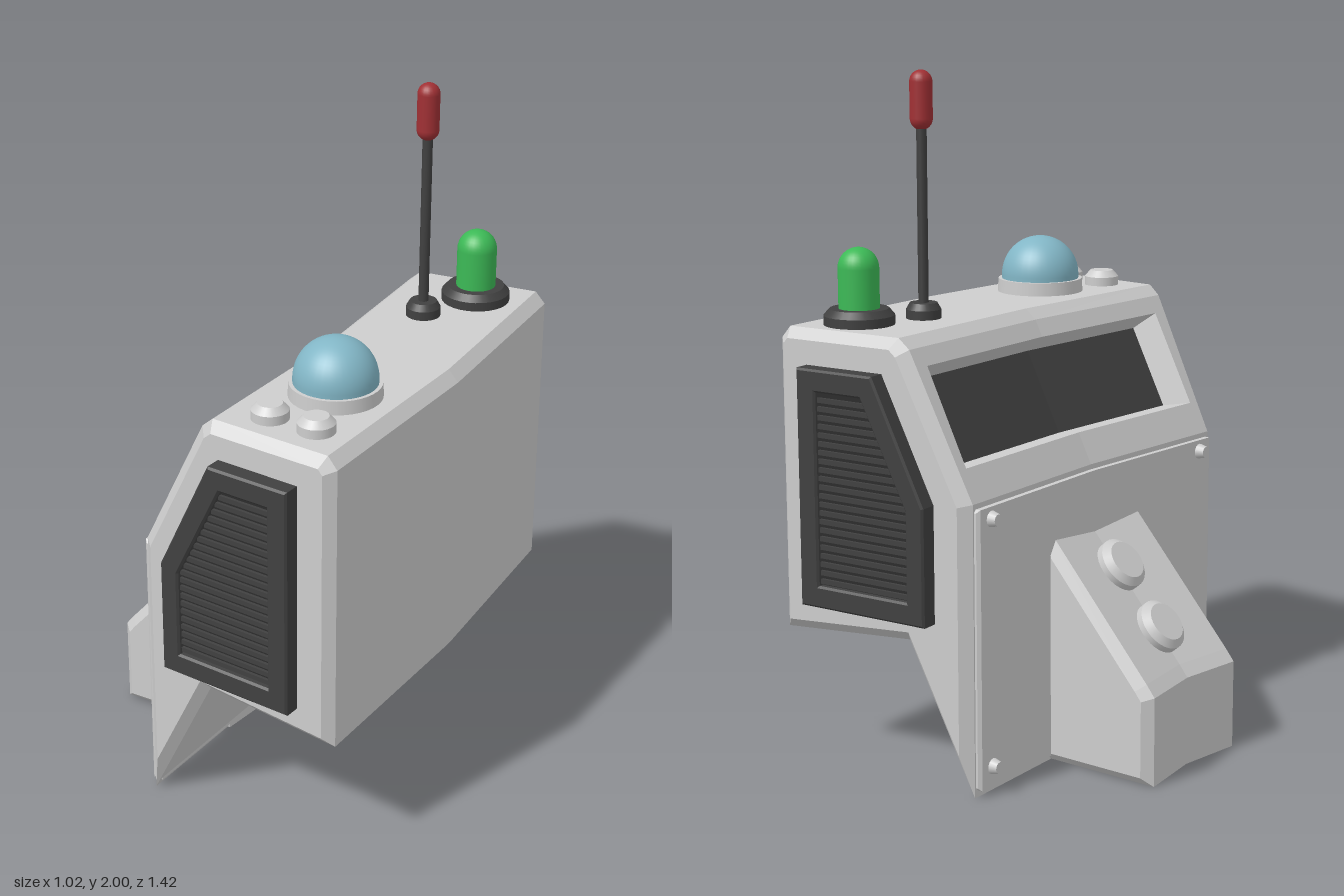
import * as THREE from 'three';

const mat = (name, color, side = THREE.FrontSide) => {
  const m = new THREE.MeshStandardMaterial({ color, side });
  m.name = name;
  return m;
};

export function createModel() {
  const grey = mat('light grey', 0xcdcdcd);
  const dark = mat('dark grey', 0x404040);
  const black = mat('vent shadow', 0x2c2c2c);
  const red = mat('red', 0xa03034);
  const green = mat('green', 0x3cb956);
  const blue = mat('blue glass', 0x82b6c6);
  const root = new THREE.Group();

  const add = (name, geo, material, x = 0, y = 0, z = 0, parent = root) => {
    const m = new THREE.Mesh(geo, material);
    m.name = name;
    m.position.set(x, y, z);
    parent.add(m);
    return m;
  };

  // Flat faceted geometry from a list of quads and triangles
  const facets = (faces) => {
    const pos = [];
    for (const f of faces)
      for (let i = 2; i < f.length; i++) pos.push(...f[0], ...f[i - 1], ...f[i]);
    const g = new THREE.BufferGeometry();
    g.setAttribute('position', new THREE.Float32BufferAttribute(pos, 3));
    g.computeVertexNormals();
    return g;
  };

  // Move a clockwise outline inwards
  const inset = (pts, d) => pts.map((p, i) => {
    const n = (a, b) => {
      const l = Math.hypot(b[0] - a[0], b[1] - a[1]);
      return [(b[1] - a[1]) / l, (a[0] - b[0]) / l];
    };
    const a = n(pts[(i + pts.length - 1) % pts.length], p);
    const b = n(p, pts[(i + 1) % pts.length]);
    const k = d / (1 + a[0] * b[0] + a[1] * b[1]);
    return [p[0] + (a[0] + b[0]) * k, p[1] + (a[1] + b[1]) * k];
  });

  // Sweep a side outline across z, bent in the middle and chamfered at both ends
  const bentFaces = (outline, halfWidth, bevel, bend, skip = -1) => {
    const small = inset(outline, bevel);
    const sections = [
      small.map(([x, y]) => [x, y, -halfWidth(x)]),
      outline.map(([x, y]) => [x, y, bevel - halfWidth(x)]),
      outline.map(([x, y]) => [x + bend, y, 0]),
      outline.map(([x, y]) => [x, y, halfWidth(x) - bevel]),
      small.map(([x, y]) => [x, y, halfWidth(x)]),
    ];
    const faces = [];
    for (let k = 0; k < 4; k++)
      outline.forEach((_, i) => {
        if (i === skip && (k === 1 || k === 2)) return;
        const j = (i + 1) % outline.length;
        const s = sections[k], t = sections[k + 1];
        faces.push([s[i], t[i], t[j], s[j]]);
      });
    const v = small.map(([x, y]) => new THREE.Vector2(x, y));
    for (const [a, b, c] of THREE.ShapeUtils.triangulateShape(v.slice(), [])) {
      const ccw = (v[b].x - v[a].x) * (v[c].y - v[a].y) - (v[b].y - v[a].y) * (v[c].x - v[a].x) > 0;
      const [p, q] = ccw ? [b, c] : [c, b];
      faces.push([sections[4][a], sections[4][p], sections[4][q]]);
      faces.push([sections[0][a], sections[0][q], sections[0][p]]);
    }
    return faces;
  };

  // Main body, with the sloped face left open for the window
  const bend = 0.027;
  const width = (x) => 0.625 + 0.095 * x;
  const outline = [[-0.165, 0], [-0.165, 0.85], [0.04, 1.26], [0.075, 1.29],
    [0.45, 1.29], [0.48, 1.255], [0.48, 0.4], [0.05, 0.43]];
  const body = bentFaces(outline, width, 0.03, bend, 1);

  // Sloped face: frame cells around a recess
  const slope = (t, z, depth = 0) => {
    const x = -0.165 + 0.205 * t;
    const edge = width(x) - 0.03;
    const zz = z === 'edge' ? edge : z;
    return [x + bend * (1 - zz / edge) + 0.894 * depth, 0.85 + 0.41 * t - 0.447 * depth, zz];
  };
  const glass = [];
  for (const s of [1, -1]) {
    const put = (list, ...pts) => {
      const q = pts.map(([x, y, z]) => [x, y, s * z]);
      list.push(s > 0 ? q : q.reverse());
    };
    const ts = [0, 0.22, 0.88, 1], zs = [0, 0.55, 'edge'];
    for (let i = 0; i < 3; i++)
      for (let j = 0; j < 2; j++)
        if (i !== 1 || j !== 0)
          put(body, slope(ts[i], zs[j]), slope(ts[i], zs[j + 1]),
            slope(ts[i + 1], zs[j + 1]), slope(ts[i + 1], zs[j]));
    const rim = [slope(0.22, 0), slope(0.22, 0.55), slope(0.88, 0.55), slope(0.88, 0)];
    const floor = [slope(0.27, 0, 0.07), slope(0.27, 0.51, 0.07),
      slope(0.84, 0.51, 0.07), slope(0.84, 0, 0.07)];
    for (let i = 0; i < 3; i++) put(body, rim[i], rim[i + 1], floor[i + 1], floor[i]);
    put(glass, ...floor);
  }
  add('body', facets(body), grey);
  add('window', facets(glass), dark);

  // Thin front panel with corner screws
  const panel = [[-0.181, 0.02], [-0.181, 0.835], [-0.15, 0.835], [-0.15, 0.02]];
  add('frontPanel', facets(bentFaces(panel, () => 0.575, 0.009, bend)), grey);
  for (const y of [0.08, 0.8])
    for (const z of [-0.515, 0.515]) {
      const screw = add('panelScrew', new THREE.CylinderGeometry(0.017, 0.025, 0.03, 16), grey, -0.188, y, z);
      screw.rotation.z = Math.PI / 2;
    }

  // Sloping nose box with two round buttons
  const nose = [[-0.515, 0], [-0.515, 0.265], [-0.487, 0.3], [-0.14, 0.696], [-0.14, 0]];
  add('noseBox', facets(bentFaces(nose, () => 0.233, 0.028, bend)), grey);
  const knobProfile = (r, h, inner) => new THREE.LatheGeometry(
    [[0, h], [inner, h], [inner, h], [r, h * 0.6], [r, h * 0.6], [r, 0]]
      .reverse().map(([x, y]) => new THREE.Vector2(x, y)), 28);
  for (const [x, y] of [[-0.38, 0.392], [-0.238, 0.554]]) {
    const button = add('noseButton', knobProfile(0.08, 0.045, 0.06), grey, x, y, 0);
    button.rotation.z = Math.atan2(0.757, 0.653);
  }

  // Side vents: frame, backing and louvers
  const shape = (pts) => new THREE.Shape(pts.map(([x, y]) => new THREE.Vector2(x, y)));
  const outer = [[-0.06, 0.5], [0.37, 0.5], [0.37, 1.19], [0.11, 1.19], [-0.06, 0.84]];
  const inner = [[0, 0.565], [0.305, 0.565], [0.305, 1.125], [0.15, 1.125], [0, 0.825]];
  const frameShape = shape(outer);
  frameShape.holes.push(shape(inner));
  const frameGeo = new THREE.ExtrudeGeometry(frameShape, {
    depth: 0.06, bevelThickness: 0.006, bevelSize: 0.006, bevelOffset: -0.006, bevelSegments: 1 });
  frameGeo.translate(0, 0, -0.03);
  const backGeo = new THREE.ExtrudeGeometry(shape(inner), { depth: 0.03, bevelEnabled: false });
  backGeo.translate(0, 0, -0.015);
  for (const s of [1, -1]) {
    const vent = new THREE.Group();
    vent.name = s > 0 ? 'leftVent' : 'rightVent';
    vent.position.z = s * 0.642;
    vent.rotation.y = -s * Math.atan(0.088);
    root.add(vent);
    add('ventFrame', frameGeo, dark, 0, 0, 0, vent);
    add('ventBacking', backGeo, black, 0, 0, 0, vent);
    for (let i = 0; i < 22; i++) {
      const y = 0.577 + i * 0.025;
      const x0 = Math.max(0, (y - 0.825) * 0.5);
      add('ventLouver', new THREE.BoxGeometry(0.305 - x0, 0.014, 0.048), dark, (0.305 + x0) / 2, y, 0, vent);
    }
  }

  // Roof fittings
  const roof = 1.288;
  add('domeBase', new THREE.CylinderGeometry(0.13, 0.132, 0.042, 36), grey, 0.285, roof + 0.021, 0.305);
  add('dome', new THREE.SphereGeometry(0.119, 36, 16, 0, Math.PI * 2, 0, Math.PI / 2), blue, 0.285, 1.342, 0.305);
  add('domeCollar', new THREE.CylinderGeometry(0.119, 0.119, 0.014, 36, 1, true), blue, 0.285, 1.335, 0.305);
  for (const [x, z] of [[0.205, 0.52], [0.352, 0.527]])
    add('roofKnob', knobProfile(0.053, 0.048, 0.035), grey, x, roof, z);

  add('beaconBase', knobProfile(0.102, 0.048, 0.085), dark, 0.315, roof, -0.497);
  add('beacon', new THREE.CapsuleGeometry(0.059, 0.12, 10, 28), green, 0.315, 1.391, -0.497);

  add('antennaBase', knobProfile(0.051, 0.048, 0.04), dark, 0.235, roof, -0.31);
  add('antennaRod', new THREE.CylinderGeometry(0.015, 0.015, 0.54, 16), dark, 0.235, 1.59, -0.31);
  add('antennaTip', new THREE.CapsuleGeometry(0.033, 0.104, 8, 20), red, 0.235, 1.915, -0.31);

  return root;
}
